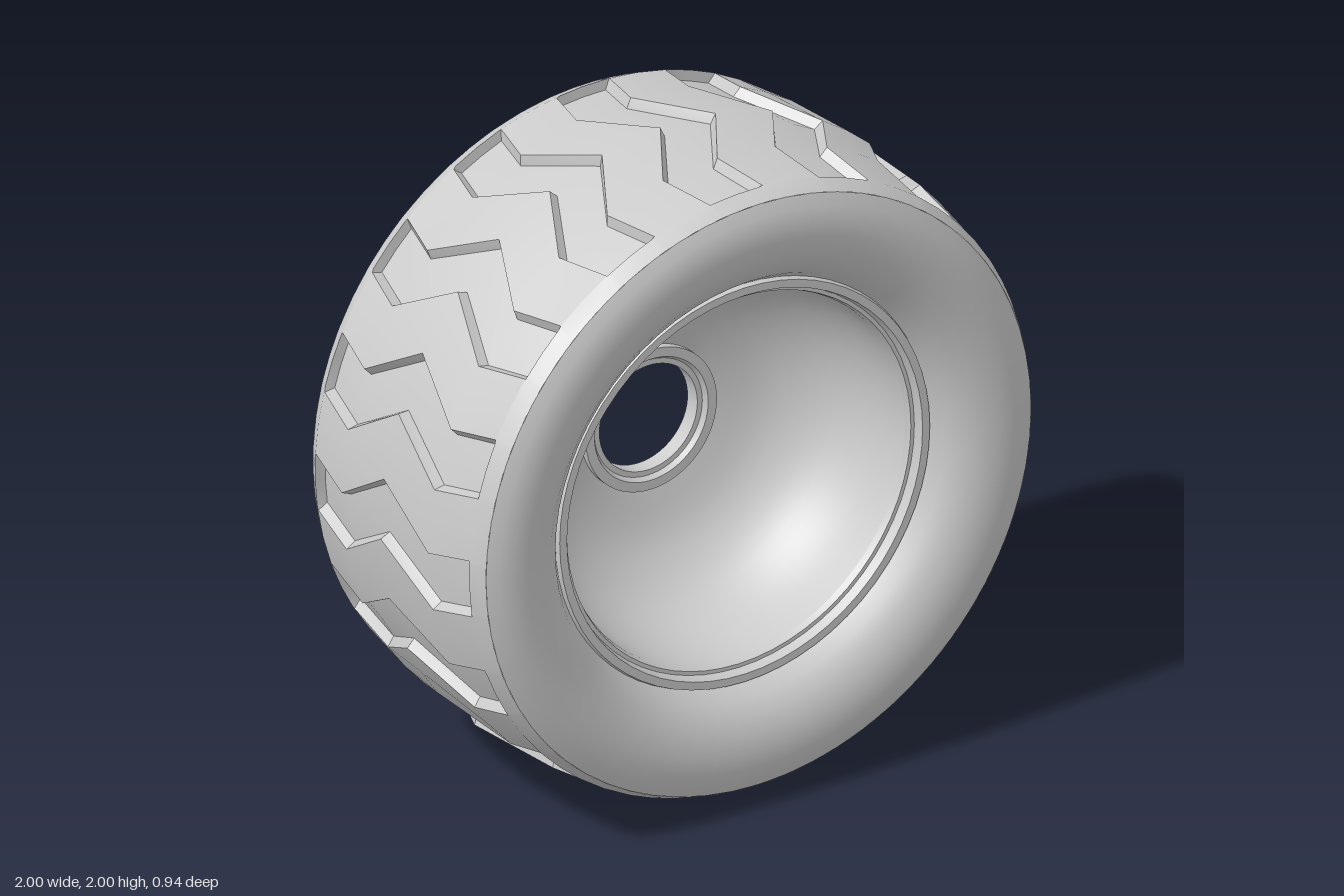
import * as THREE from 'three';
import { toCreasedNormals } from 'three/addons/utils/BufferGeometryUtils.js';

const DEG = Math.PI / 180;
const material = new THREE.MeshStandardMaterial({ color: 0xcccccc, side: THREE.DoubleSide });

function addMesh(group, name, geometry, crease = 35) {
  const mesh = new THREE.Mesh(toCreasedNormals(geometry, crease * DEG), material);
  mesh.name = name;
  group.add(mesh);
}

// Revolve [radius, z] points around the axle (z axis)
function revolve(points) {
  const geometry = new THREE.LatheGeometry(points.map(([r, z]) => new THREE.Vector2(r, z)), 64);
  return geometry.rotateX(Math.PI / 2);
}

// Mirror a front profile to the back, reversed so it still faces outward
const mirrored = (points) => points.map(([r, z]) => [r, -z]).reverse();

// Crowned tread with sixteen zigzag grooves
function treadGeometry() {
  const depth = 0.032;
  // Half columns: z, radius, zigzag angle in degrees, groove depth
  const half = [
    [0.22, 0.985, 8.2, depth],
    [0.388, 0.96, 5.7, depth],
    [0.392, 0.96, 5.7, 0],
    [0.44, 0.935, 5.7, 0],
  ];
  const columns = [
    ...half.map(([z, ...rest]) => [-z, ...rest]).reverse(),
    [0, 1, 0, depth],
    ...half,
  ];
  // One tread pitch: angle in degrees, and whether it lies in the groove
  const pitch = [[-8.6, 0], [-7.8, 1], [-3.2, 1], [1.5, 1], [2.3, 0], [8.1, 0]];
  const count = 16;
  const rows = count * pitch.length;
  const positions = [];
  const index = [];
  for (let i = 0; i < rows; i++) {
    const [angle, inGroove] = pitch[i % pitch.length];
    const base = angle + Math.floor(i / pitch.length) * (360 / count);
    columns.forEach(([z, radius, shift, cut], j) => {
      const a = (base + shift) * DEG;
      const r = radius - cut * inGroove;
      positions.push(r * Math.cos(a), r * Math.sin(a), z);
      if (j === columns.length - 1) return;
      const p = i * columns.length + j;
      const q = ((i + 1) % rows) * columns.length + j;
      index.push(p, q, q + 1, p, q + 1, p + 1);
    });
  }
  const geometry = new THREE.BufferGeometry();
  geometry.setAttribute('position', new THREE.Float32BufferAttribute(positions, 3));
  geometry.setIndex(index);
  geometry.computeVertexNormals();
  return geometry;
}

export function createModel() {
  const wheel = new THREE.Group();
  wheel.name = 'wheel';
  wheel.position.y = 1;

  // Tyre
  addMesh(wheel, 'tread', treadGeometry());
  const sidewall = [
    [0.935, 0.44], [0.9, 0.457], [0.86, 0.468], [0.81, 0.468],
    [0.76, 0.458], [0.71, 0.435], [0.67, 0.4], [0.64, 0.355],
  ];
  addMesh(wheel, 'frontSidewall', revolve(sidewall));
  addMesh(wheel, 'backSidewall', revolve(mirrored(sidewall)));

  // Stepped rim lips
  const lip = [[0.64, 0.355], [0.635, 0.37], [0.61, 0.37], [0.602, 0.34], [0.59, 0.34], [0.583, 0.32]];
  addMesh(wheel, 'frontRimLip', revolve(lip));
  addMesh(wheel, 'backRimLip', revolve(mirrored(lip)));

  // Deep bowl at the front, shallower flared dish at the back
  const bowl = new THREE.SplineCurve([
    [0.583, 0.32], [0.565, 0.16], [0.5, 0.02], [0.38, -0.08], [0.22, -0.13],
  ].map(([r, z]) => new THREE.Vector2(r, z)));
  addMesh(wheel, 'frontDish', revolve(bowl.getPoints(16).map((p) => [p.x, p.y])));
  const flare = new THREE.SplineCurve([
    [0.22, -0.165], [0.3, -0.23], [0.4, -0.29], [0.5, -0.32], [0.583, -0.32],
  ].map(([r, z]) => new THREE.Vector2(r, z)));
  addMesh(wheel, 'backDish', revolve(flare.getPoints(16).map((p) => [p.x, p.y])));

  // Open hub with a stepped collar on each side
  addMesh(wheel, 'hub', revolve([
    [0.225, -0.13], [0.225, -0.105], [0.195, -0.105], [0.185, -0.12], [0.168, -0.12],
    [0.168, -0.17], [0.185, -0.17], [0.195, -0.185], [0.225, -0.185], [0.225, -0.165],
  ]));

  return wheel;
}
